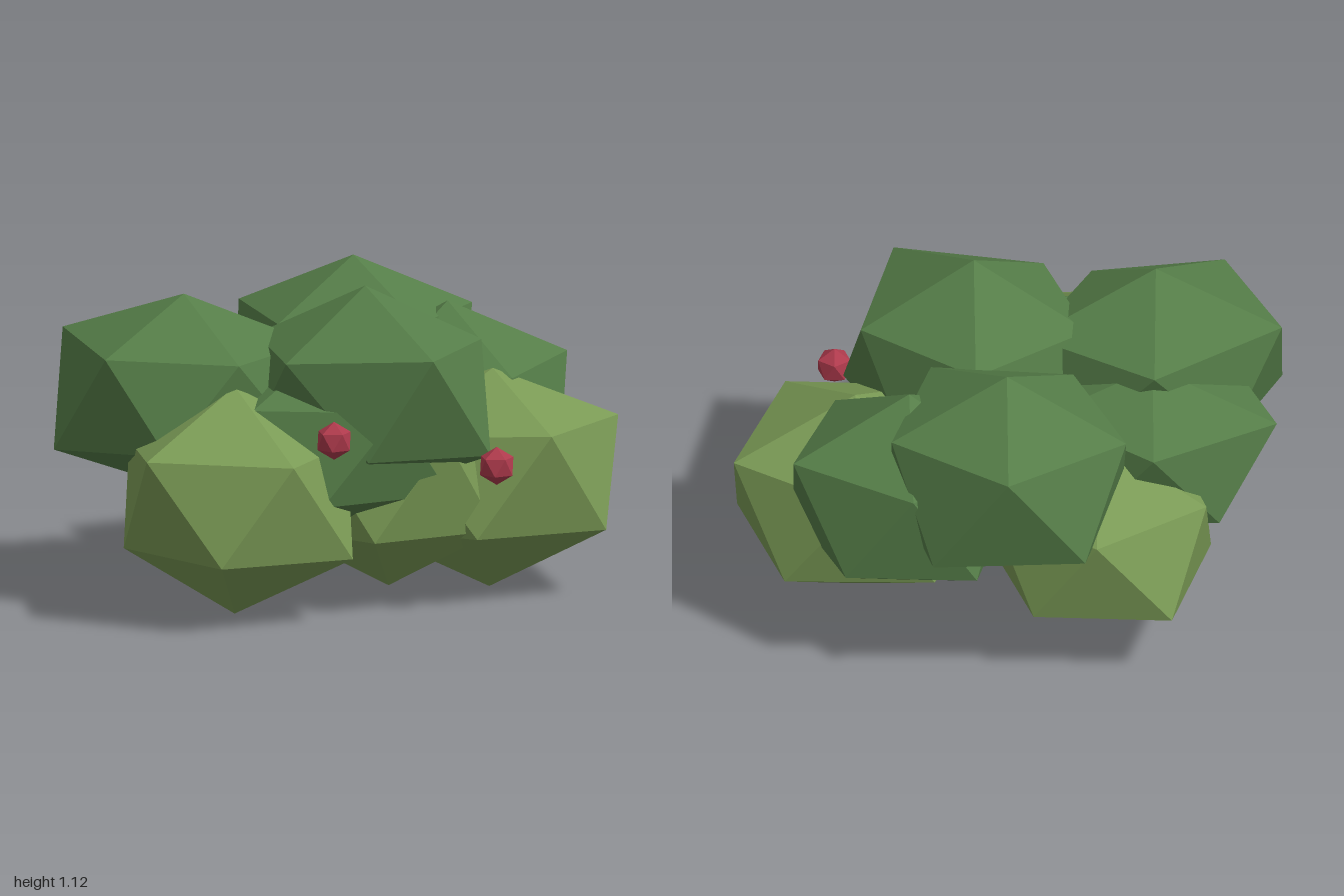
import * as THREE from 'three';

export function createModel() {
  const bush = new THREE.Group();
  bush.name = 'berryBush';

  const darkLeaf = new THREE.MeshStandardMaterial({ color: 0x557d48, flatShading: true });
  darkLeaf.name = 'dark leaf green';
  const lightLeaf = new THREE.MeshStandardMaterial({ color: 0x7a9a55, flatShading: true });
  lightLeaf.name = 'light leaf green';
  const berryRed = new THREE.MeshStandardMaterial({ color: 0xae3a4c, flatShading: true });
  berryRed.name = 'berry red';

  // Icosahedron standing on a vertex: top, bottom, upper ring u0-u4, lower ring l0-l4.
  // "moved" places single corners by hand so that each clump is a little irregular.
  function clumpGeometry([x, y, z], [rx, ry, rz], moved = {}) {
    const corners = { top: [x, y + ry, z], bottom: [x, y - ry, z] };
    const ring = 2 / Math.sqrt(5), level = 1 / Math.sqrt(5);
    for (let i = 0; i < 5; i++) {
      const a = (i * 2 * Math.PI) / 5, b = a + Math.PI / 5;
      corners['u' + i] = [x + rx * ring * Math.cos(a), y + ry * level, z + rz * ring * Math.sin(a)];
      corners['l' + i] = [x + rx * ring * Math.cos(b), y - ry * level, z + rz * ring * Math.sin(b)];
    }
    Object.assign(corners, moved);

    const points = [];
    const face = (...keys) => keys.forEach((k) => points.push(...corners[k]));
    for (let i = 0; i < 5; i++) {
      const j = (i + 1) % 5;
      face('top', 'u' + j, 'u' + i);
      face('u' + i, 'u' + j, 'l' + i);
      face('l' + i, 'u' + j, 'l' + j);
      face('bottom', 'l' + i, 'l' + j);
    }
    const geometry = new THREE.BufferGeometry();
    geometry.setAttribute('position', new THREE.Float32BufferAttribute(points, 3));
    geometry.computeVertexNormals();
    return geometry;
  }

  function addClumps(name, material, list) {
    list.forEach(([center, radii, moved], i) => {
      const mesh = new THREE.Mesh(clumpGeometry(center, radii, moved), material);
      mesh.name = name + (i + 1);
      bush.add(mesh);
    });
  }

  // Lower foliage: centre, radii, moved corners
  addClumps('lowerFoliage', lightLeaf, [
    [[-0.43, 0.41, 0.41], [0.445, 0.40, 0.44], {
      u1: [-0.305, 0.59, 0.80], u2: [-0.795, 0.605, 0.66],
      l0: [-0.067, 0.235, 0.665], l1: [-0.56, 0.245, 0.80], l2: [-0.82, 0.255, 0.40],
    }],
    [[0.54, 0.41, 0.09], [0.51, 0.405, 0.48], {
      top: [0.55, 0.775, 0.10], u1: [0.67, 0.605, 0.51],
      l0: [0.895, 0.24, 0.36], l1: [0.41, 0.25, 0.495], l4: [0.90, 0.25, -0.18],
    }],
    [[0.16, 0.445, 0.20], [0.46, 0.40, 0.43]],
    [[-0.17, 0.41, -0.42], [0.45, 0.35, 0.475], {
      u3: [-0.48, 0.565, -0.65], u4: [-0.035, 0.565, -0.79], l3: [-0.295, 0.245, -0.83],
    }],
  ]);

  // Upper foliage
  addClumps('upperFoliage', darkLeaf, [
    [[-0.54, 0.735, 0.09], [0.51, 0.345, 0.44], {
      u1: [-0.42, 0.885, 0.435], u2: [-0.87, 0.905, 0.33], u3: [-0.91, 0.928, -0.18],
      u4: [-0.40, 0.90, -0.32], l2: [-1.0, 0.55, 0.09],
    }],
    [[0.06, 0.75, 0.28], [0.46, 0.37, 0.48], {
      u1: [0.205, 0.93, 0.725], u2: [-0.27, 0.90, 0.51],
      l0: [0.445, 0.557, 0.553], l1: [-0.01, 0.57, 0.66],
    }],
    [[-0.04, 0.58, 0.27], [0.48, 0.36, 0.46]],
    [[0.17, 0.73, -0.42], [0.47, 0.36, 0.47], {
      u0: [0.59, 0.905, -0.42], u1: [0.315, 0.915, -0.02], u2: [-0.145, 0.90, -0.197],
      u3: [-0.18, 0.90, -0.675], u4: [0.30, 0.915, -0.83],
      l3: [0.027, 0.557, -0.85], l4: [0.525, 0.54, -0.685],
    }],
    [[0.49, 0.575, -0.22], [0.44, 0.375, 0.42], {
      top: [0.46, 0.955, -0.22], u0: [0.885, 0.76, -0.23], u4: [0.56, 0.74, -0.57],
      l3: [0.345, 0.41, -0.62], l4: [0.77, 0.41, -0.46],
    }],
    [[-0.43, 0.60, -0.21], [0.44, 0.36, 0.43], {
      top: [-0.43, 0.88, -0.21], u3: [-0.79, 0.745, -0.487], u4: [-0.305, 0.75, -0.597],
      l2: [-0.795, 0.485, -0.24],
    }],
  ]);

  // Berries
  addClumps('berry', berryRed, [
    [[-0.16, 0.68, 0.787], [0.066, 0.067, 0.066]],
    [[0.445, 0.54, 0.65], [0.066, 0.067, 0.066]],
  ]);

  return bush;
}
